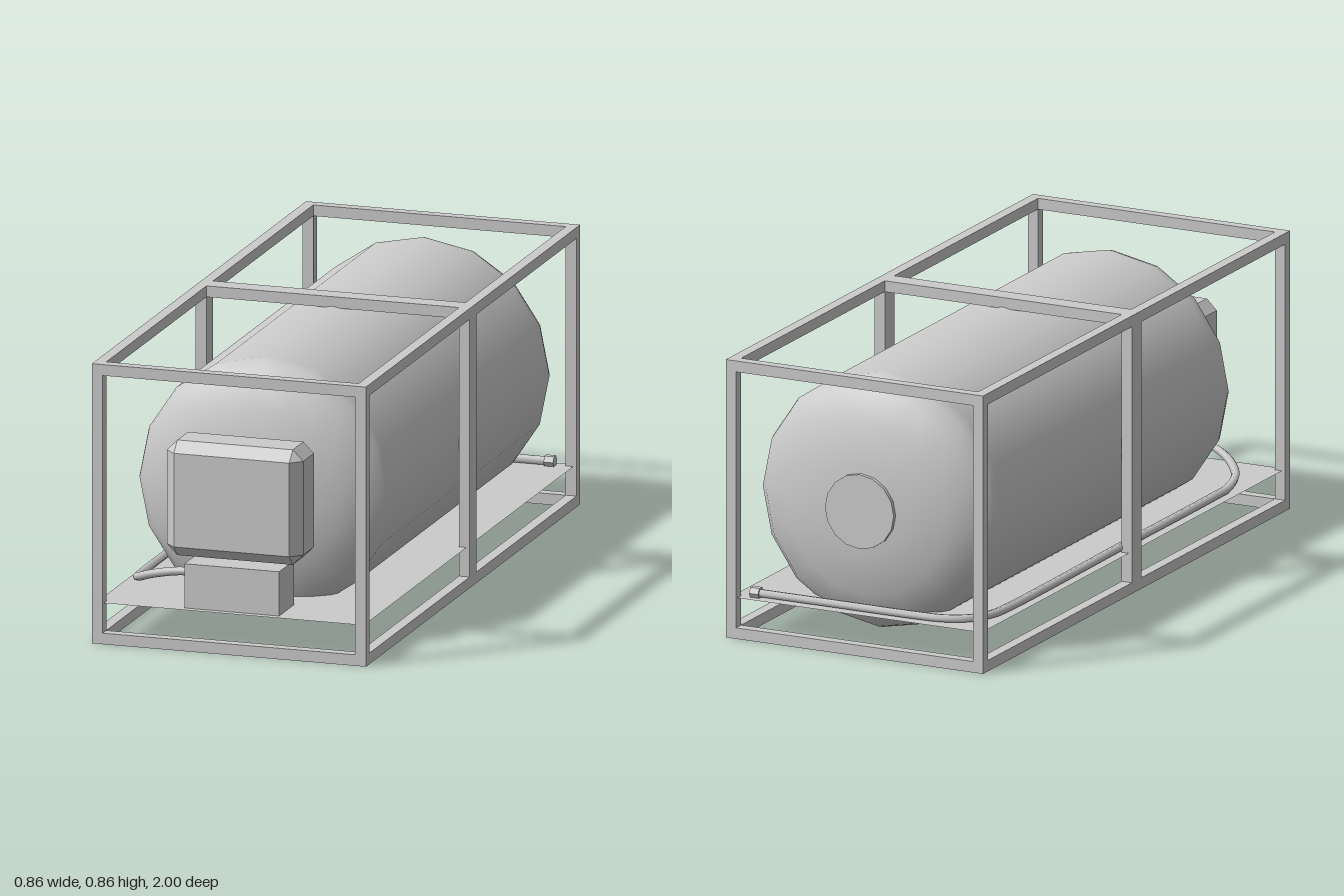
import * as THREE from 'three';
import { ConvexGeometry } from 'three/addons/geometries/ConvexGeometry.js';

const smooth = new THREE.MeshStandardMaterial({ color: 0xcccccc });
const flat = new THREE.MeshStandardMaterial({ color: 0xcccccc, flatShading: true });
const sheet = new THREE.MeshStandardMaterial({ color: 0xcccccc, side: THREE.DoubleSide });

function add(parent, name, geometry, material, x = 0, y = 0, z = 0) {
  const mesh = new THREE.Mesh(geometry, material);
  mesh.name = name;
  mesh.position.set(x, y, z);
  parent.add(mesh);
  return mesh;
}

// Box with every edge chamfered by c
function chamferedBox(w, h, d, c) {
  const points = [];
  for (const sx of [-1, 1]) for (const sy of [-1, 1]) for (const sz of [-1, 1]) {
    const [x, y, z] = [sx * w / 2, sy * h / 2, sz * d / 2];
    points.push(
      new THREE.Vector3(x, y - sy * c, z - sz * c),
      new THREE.Vector3(x - sx * c, y, z - sz * c),
      new THREE.Vector3(x - sx * c, y - sy * c, z));
  }
  return new ConvexGeometry(points);
}

function createFrame() {
  const frame = new THREE.Group();
  frame.name = 'frame';
  const W = 0.86, H = 0.86, L = 2, t = 0.034;
  const bar = (name, w, h, d, x, y, z) => add(frame, name, new THREE.BoxGeometry(w, h, d), flat, x, y, z);
  for (const sx of [-1, 1]) {
    const x = sx * (W - t) / 2;
    for (const y of [t / 2, H - t / 2]) bar('sideRail', t, t, L, x, y, 0);
    for (const sz of [-1, 1]) bar('cornerPost', t, H - 2 * t, t, x, H / 2, sz * (L - t) / 2);
    bar('middlePost', t, H - 2 * t, 0.062, x, H / 2, 0);
  }
  for (const sz of [-1, 1])
    for (const y of [t / 2, H - t / 2]) bar('endRail', W - 2 * t, t, t, 0, y, sz * (L - t) / 2);
  bar('topCrossbar', W - 2 * t, t, 0.062, 0, H - t / 2, 0);
  return frame;
}

function createTank() {
  const tank = new THREE.Group();
  tank.name = 'tank';
  tank.position.y = 0.437;
  // Half profile from the back dome to the front dome
  const dome = [[0, 0.143], [0.14, 0.138], [0.27, 0.112], [0.355, 0.065], [0.386, 0.025], [0.394, 0]];
  const back = dome.map(([r, d]) => new THREE.Vector2(r, -0.82 - d * 0.97));
  const front = dome.map(([r, d]) => new THREE.Vector2(r, 0.66 + d)).reverse();
  const profile = [...back, new THREE.Vector2(0.394, -0.8), new THREE.Vector2(0.394, 0.64), ...front];
  add(tank, 'shell', new THREE.LatheGeometry(profile, 16), smooth).rotation.x = Math.PI / 2;
  // Round hatch on the back dome
  add(tank, 'hatch', new THREE.CylinderGeometry(0.115, 0.115, 0.03, 16), smooth, 0, 0, -0.953).rotation.x = Math.PI / 2;
  return tank;
}

function createHose() {
  const hose = new THREE.Group();
  hose.name = 'hose';
  // From the lower box, down the side and across the back
  const path = new THREE.CatmullRomCurve3([
    [-0.14, 0.212, 0.875], [-0.2, 0.21, 0.872], [-0.29, 0.188, 0.845], [-0.36, 0.156, 0.78],
    [-0.385, 0.139, 0.68], [-0.387, 0.138, 0.6], [-0.387, 0.138, 0], [-0.387, 0.138, -0.76],
    [-0.378, 0.138, -0.84], [-0.34, 0.138, -0.91], [-0.27, 0.138, -0.948], [-0.19, 0.138, -0.955],
    [0.1, 0.138, -0.955], [0.345, 0.138, -0.955],
  ].map(p => new THREE.Vector3(...p)));
  add(hose, 'hosePipe', new THREE.TubeGeometry(path, 100, 0.013, 6), smooth);
  add(hose, 'hoseConnector', new THREE.CylinderGeometry(0.019, 0.019, 0.03, 6), flat, 0.351, 0.138, -0.955)
    .rotation.z = Math.PI / 2;
  return hose;
}

export function createModel() {
  const model = new THREE.Group();
  model.name = 'framedTank';
  model.add(createFrame(), createTank(), createHose());
  // Thin floor that the tank dips through
  add(model, 'floorPlate', new THREE.PlaneGeometry(0.84, 1.98), sheet, 0, 0.124, 0).rotation.x = -Math.PI / 2;
  // Equipment at the front
  add(model, 'controlCabinet', chamferedBox(0.428, 0.354, 0.165, 0.033), flat, 0, 0.455, 0.893);
  add(model, 'pumpBox', new THREE.BoxGeometry(0.297, 0.136, 0.138), flat, -0.002, 0.192, 0.898);
  return model;
}
